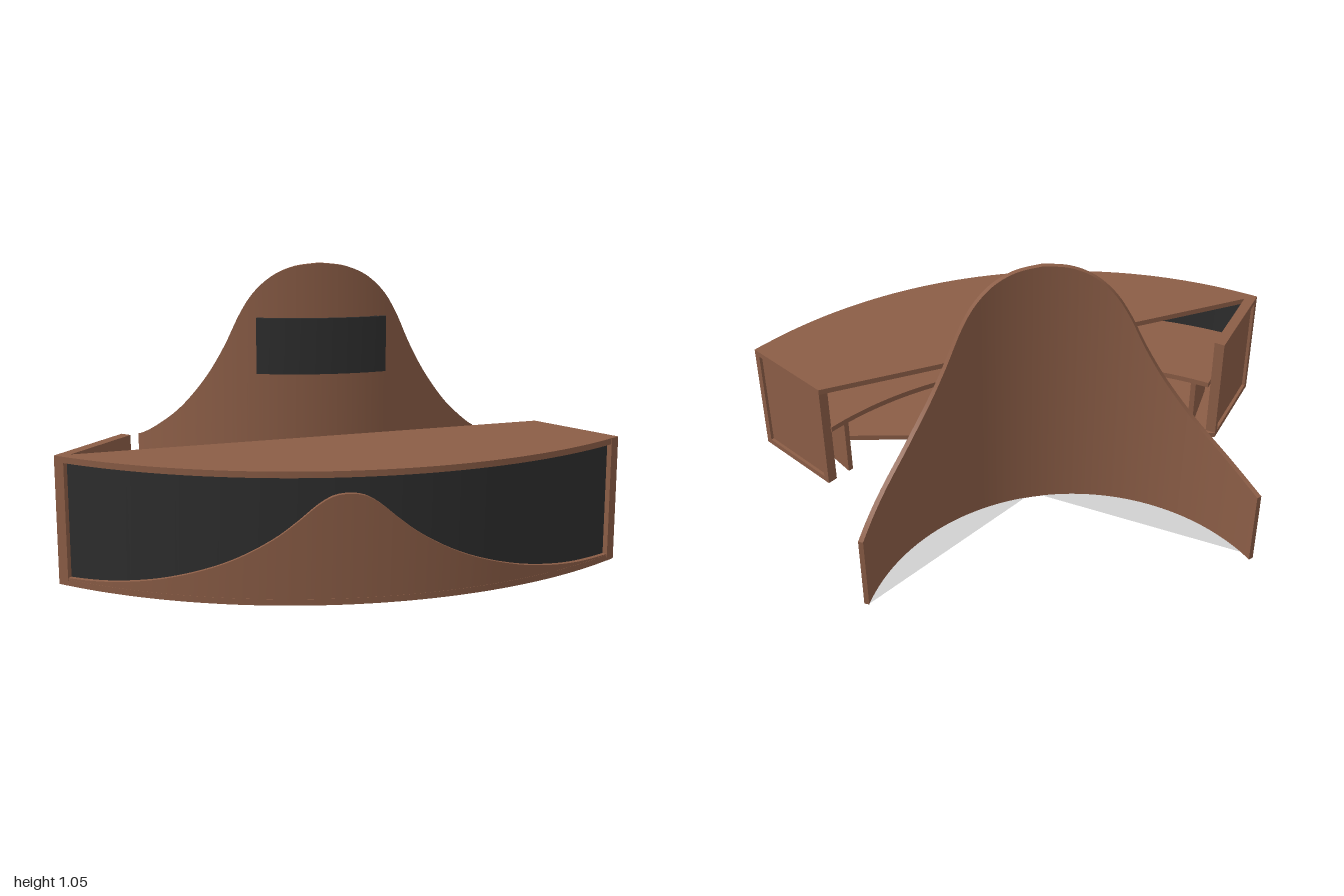
import * as THREE from 'three';
import { toCreasedNormals } from 'three/addons/utils/BufferGeometryUtils.js';

const material = (name, color) => {
  const m = new THREE.MeshStandardMaterial({ color, side: THREE.DoubleSide });
  m.name = name;
  return m;
};

// Plan centres of the two concentric sets of curves
const WALL = { x: -0.03, z: -0.95 };
const DESK = { x: -0.026, z: -0.965 };
const at = (c, r, a) => [c.x + r * Math.sin(a), c.z + r * Math.cos(a)];

// Smooth height profile through [position, height] points
function profile(points) {
  const curve = new THREE.CatmullRomCurve3(points.map(([u, y]) => new THREE.Vector3(u, y, 0)), false, 'centripetal');
  const samples = curve.getPoints(160);
  return (u) => {
    const i = samples.findIndex((p) => p.x >= u);
    if (i < 0) return samples[samples.length - 1].y;
    if (i === 0) return samples[0].y;
    const p = samples[i - 1], q = samples[i];
    return p.y + (q.y - p.y) * (u - p.x) / (q.x - p.x || 1);
  };
}

// Upright board bent round a centre, with a height that varies along it
function curvedBoard(c, inner, outer, a0, a1, bottom, topAt, n = 72) {
  const pos = [];
  const quad = (p, q, r, s) => pos.push(...p, ...q, ...r, ...p, ...r, ...s);
  const section = (i) => {
    const a = a0 + (a1 - a0) * i / n;
    const [ox, oz] = at(c, outer, a), [ix, iz] = at(c, inner, a);
    const top = topAt(Math.abs(ox - c.x));
    return [[ox, bottom, oz], [ox, top, oz], [ix, top, iz], [ix, bottom, iz]];
  };
  for (let i = 0; i < n; i++) {
    const s = section(i), t = section(i + 1);
    for (let k = 0; k < 4; k++) quad(s[k], t[k], t[(k + 1) % 4], s[(k + 1) % 4]);
  }
  quad(...section(0));
  quad(...section(n).reverse());
  const g = new THREE.BufferGeometry();
  g.setAttribute('position', new THREE.Float32BufferAttribute(pos, 3));
  return toCreasedNormals(g, 0.6);
}

// Points along an arc in plan
const arc = (c, r, a0, a1, n = 48) => Array.from({ length: n + 1 }, (_, i) => at(c, r, a0 + (a1 - a0) * i / n));
const planShape = (pts) => new THREE.Shape(pts.map(([x, z]) => new THREE.Vector2(x, -z)));

// Flat slab cut to a plan outline
function slab(pts, y, h) {
  const g = new THREE.ExtrudeGeometry(planShape(pts), { depth: h, bevelEnabled: false });
  g.rotateX(-Math.PI / 2).translate(0, y, 0);
  return toCreasedNormals(g, 0.6);
}

export function createModel() {
  const brown = material('brown wood', 0x8b5d46);
  const black = material('black panel', 0x2e2e2e);
  const grey = material('pale grey', 0xd0d0d0);
  const model = new THREE.Group();
  const add = (name, geometry, mat, parent = model) => {
    const mesh = new THREE.Mesh(geometry, mat);
    mesh.name = name;
    parent.add(mesh);
    return mesh;
  };

  // Back wall, bell-shaped
  const wallTop = profile([[0, 1.05], [0.1, 1.036], [0.18, 1.0], [0.25, 0.935], [0.3, 0.855], [0.36, 0.725],
    [0.43, 0.6], [0.53, 0.465], [0.62, 0.375], [0.68, 0.322], [0.705, 0.303]]);
  add('backWall', curvedBoard(WALL, 0.75, 0.768, -1.166, 1.166, 0, wallTop, 96), brown);

  // Floor segments behind the wall
  for (const [a0, a1] of [[-1.11, 0], [0.08, 1.166]]) {
    const g = new THREE.ShapeGeometry(planShape(arc(WALL, 0.752, a0, a1, 32)));
    add('floorSegment', g.rotateX(-Math.PI / 2).translate(0, 0.001, 0), grey);
  }

  // Screen on four standoffs
  const screen = new THREE.Group();
  screen.name = 'screen';
  model.add(screen);
  add('screenPanel', curvedBoard(WALL, 0.845, 0.857, -0.291, 0.291, 0.64, () => 0.852, 24), black, screen);
  for (const x of [-0.248, 0.188]) {
    for (const y of [0.672, 0.828]) {
      const g = new THREE.CylinderGeometry(0.014, 0.014, 0.09, 16).rotateX(Math.PI / 2);
      add('screenStandoff', g, black, screen).position.set(x, y, -0.17);
    }
  }

  // Desk top and base, each cut back along its own straight line
  const R = 1.62, A0 = -0.645, A1 = 0.685;
  const front = arc(DESK, R, A0, A1);
  add('deskTop', slab([...front, [0.77, 0], [0, 0.145], [-0.925, 0.319]], 0.438, 0.022), brown);
  add('deskBase', slab([...front, [0.93, 0.283], [0, 0.145], [-0.78, 0.03]], 0, 0.022), brown);

  // Dark front with the wave panel before it
  add('deskFront', curvedBoard(DESK, 1.592, 1.602, A0 + 0.012, A1 - 0.012, 0.022, () => 0.438), black);
  const wave = profile([[0, 0.383], [0.05, 0.375], [0.1, 0.347], [0.17, 0.288], [0.25, 0.227], [0.4, 0.145],
    [0.6, 0.077], [0.8, 0.039], [0.97, 0.026], [1.03, 0.024]]);
  add('wavePanel', curvedBoard(DESK, 1.602, 1.619, A0 + 0.004, A1 - 0.004, 0.015, wave, 96), brown);

  // Inner shelf
  add('innerShelf', slab([...arc(DESK, 1.592, -0.62, 0.66), ...arc(DESK, 1.245, 0.66, -0.61)], 0.24, 0.022), brown);

  // Upright board standing between two plan points; its inner side is local +z
  const upright = (name, [ax, az], [bx, bz]) => {
    const g = new THREE.Group();
    g.name = name;
    g.position.set((ax + bx) / 2, 0, (az + bz) / 2);
    g.rotation.y = Math.atan2(az - bz, bx - ax);
    model.add(g);
    return [g, Math.hypot(bx - ax, bz - az)];
  };

  // Framed end panels
  for (const [a, b] of [[[-1, 0.33], [-0.78, 0.03]], [[0.77, 0], [1, 0.29]]]) {
    const [g, w] = upright('endPanel', a, b);
    add('endInset', new THREE.BoxGeometry(w - 0.02, 0.44, 0.028), brown, g).position.set(0, 0.23, 0.026);
    for (const s of [-1, 1]) {
      add('endStile', new THREE.BoxGeometry(0.024, 0.46, 0.04), brown, g).position.set(s * (w / 2 - 0.012), 0.23, 0.02);
      add('endRail', new THREE.BoxGeometry(w - 0.048, 0.022, 0.04), brown, g).position.set(0, 0.23 + s * 0.219, 0.02);
    }
  }

  // Shelf supports near each end
  for (const [a, b] of [[[-0.81, 0.3], [-0.7, 0.09]], [[0.69, 0.06], [0.82, 0.27]]]) {
    const [g, w] = upright('shelfSupport', a, b);
    add('supportBoard', new THREE.BoxGeometry(w, 0.24, 0.02), brown, g).position.set(0, 0.12, 0.01);
  }
  return model;
}
